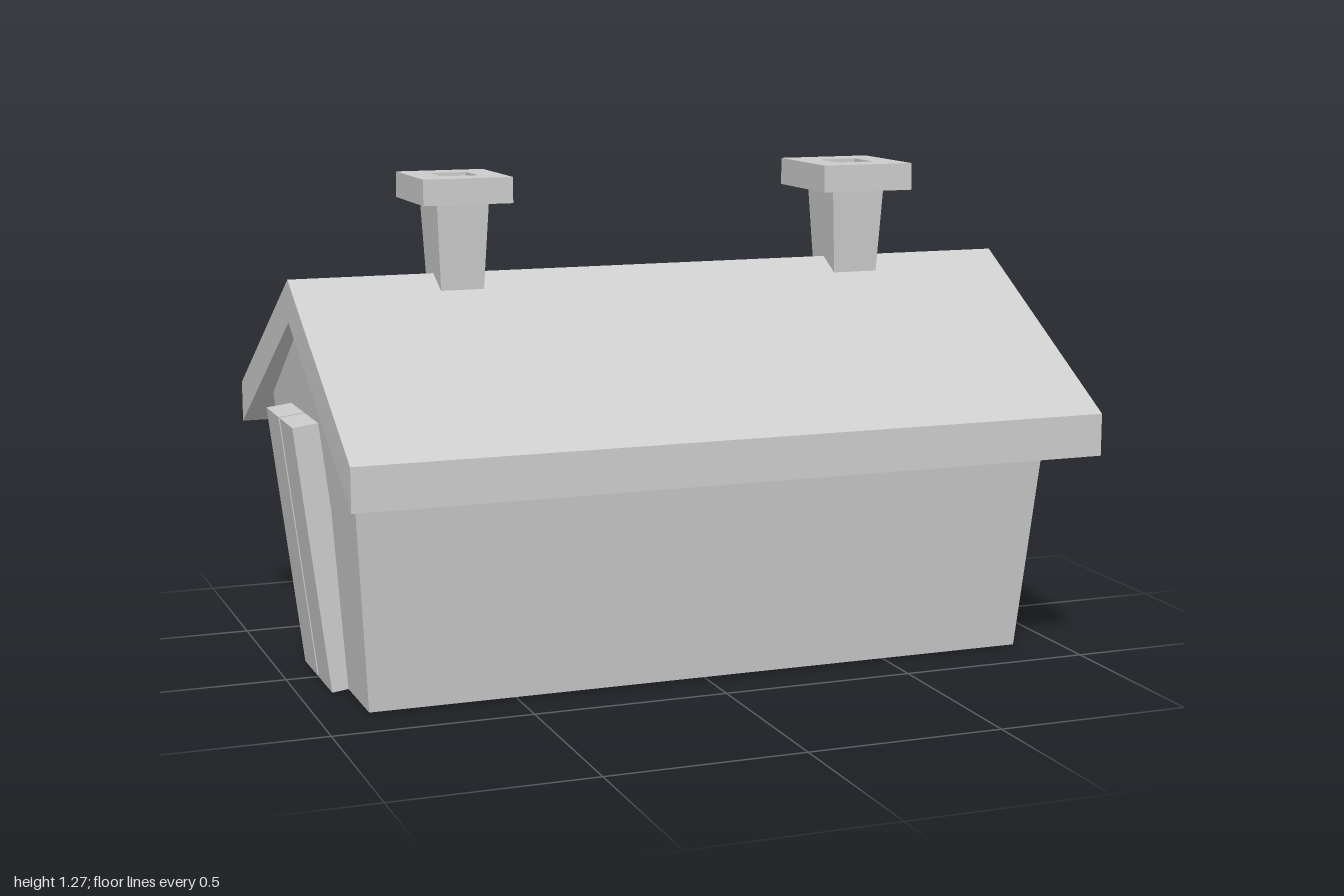
import * as THREE from 'three';

const material = new THREE.MeshStandardMaterial({ color: 0xcccccc, flatShading: true });

// Extrude a z-y profile along x, centred on x = 0
function gable(points, length) {
  const shape = new THREE.Shape(points.map(([z, y]) => new THREE.Vector2(z, y)));
  return new THREE.ExtrudeGeometry(shape, { depth: length, bevelEnabled: false })
    .translate(0, 0, -length / 2)
    .rotateY(Math.PI / 2);
}

// Move every vertex by a rule
function reshape(geometry, rule) {
  const p = geometry.attributes.position;
  const v = new THREE.Vector3();
  for (let i = 0; i < p.count; i++) {
    rule(v.fromBufferAttribute(p, i));
    p.setXYZ(i, v.x, v.y, v.z);
  }
  geometry.computeVertexNormals();
  return geometry;
}

function add(parent, name, geometry) {
  const mesh = new THREE.Mesh(geometry, material);
  mesh.name = name;
  parent.add(mesh);
  return mesh;
}

// Flared stack under a square cap with a hole
function chimney(x, z, capW, capD, capH, holeW, holeD, topW) {
  const group = new THREE.Group();
  group.name = 'chimney';
  const bottom = 0.94, top = 1.2;
  const stack = new THREE.BoxGeometry(topW, top - bottom, 0.162);
  reshape(stack, v => {
    const s = v.y < 0 ? 0.8 : 1;
    v.x *= s;
    v.z *= s;
    v.y += (top + bottom) / 2;
  });
  add(group, 'chimneyStack', stack);

  const rect = (T, w, d) => new T([[-w, -d], [w, -d], [w, d], [-w, d]]
    .map(([a, b]) => new THREE.Vector2(a / 2, b / 2)));
  const cap = rect(THREE.Shape, capW, capD);
  cap.holes.push(rect(THREE.Path, holeW, holeD));
  const capGeometry = new THREE.ExtrudeGeometry(cap, { depth: capH, bevelEnabled: false })
    .rotateX(-Math.PI / 2)
    .translate(0, top, 0);
  add(group, 'chimneyCap', capGeometry);
  group.position.set(x, 0, z);
  return group;
}

export function createModel() {
  const model = new THREE.Group();
  model.name = 'cabin';

  // Walls lean outwards towards the roof
  const walls = gable([[-0.365, 0.005], [0.365, 0.005], [0.437, 0.664], [0, 0.914], [-0.437, 0.664]], 2);
  add(model, 'walls', reshape(walls, v => { v.x *= 0.875 + 0.072 * v.y; }));

  // Gable roof slab with overhanging eaves
  add(model, 'roof', gable([
    [-0.623, 0.557], [0, 0.911], [0.623, 0.557],
    [0.623, 0.665], [0, 1.018], [-0.623, 0.665],
  ], 1.94));

  // Pair of leaning door panels at each end
  for (const side of [-1, 1]) {
    for (const half of [-1, 1]) {
      const panel = new THREE.BoxGeometry(0.065, 0.68, 0.145);
      const door = add(model, 'doorPanel', panel);
      door.rotation.z = -side * 0.123;
      door.position.set(side * 0.926, 0.341, half * 0.08);
    }
  }

  model.add(chimney(-0.541, -0.002, 0.23, 0.262, 0.065, 0.095, 0.104, 0.134));
  model.add(chimney(0.538, -0.002, 0.25, 0.282, 0.07, 0.103, 0.113, 0.145));
  return model;
}
